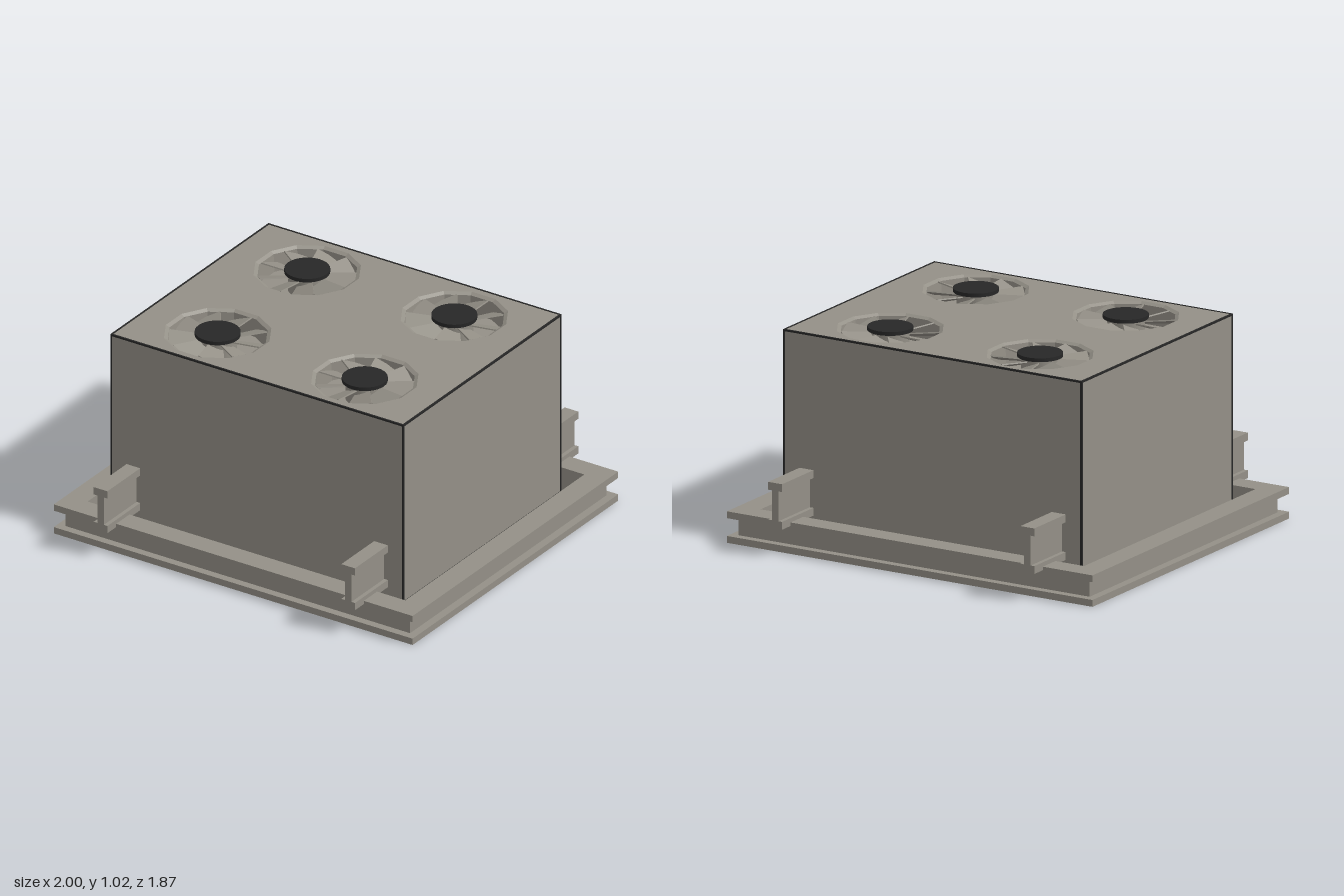
import * as THREE from 'three';

export function createModel() {
  const model = new THREE.Group();
  const steel = new THREE.MeshStandardMaterial({ color: 0x949087 });
  steel.name = 'warm grey steel';
  const dark = new THREE.MeshStandardMaterial({ color: 0x272727 });
  dark.name = 'dark rubber';

  const add = (parent, name, geometry, material, x = 0, y = 0, z = 0) => {
    const mesh = new THREE.Mesh(geometry, material);
    mesh.name = name;
    mesh.position.set(x, y, z);
    parent.add(mesh);
    return mesh;
  };
  const toPoints = list => list.map(p => new THREE.Vector2(...p));
  const rectPoints = (x, z) => toPoints([[-x, -z], [x, -z], [x, z], [-x, z]]);
  // Horizontal plate with holes, rising from y = 0
  const plate = (points, holes, height) => {
    const shape = new THREE.Shape(points);
    holes.forEach(h => shape.holes.push(new THREE.Path(h)));
    return new THREE.ExtrudeGeometry(shape, { depth: height, bevelEnabled: false }).rotateX(-Math.PI / 2);
  };

  // Base frame: two flanges and a set-back web, flat on the inside
  const frame = new THREE.Group();
  frame.name = 'baseFrame';
  model.add(frame);
  const opening = rectPoints(0.885, 0.75);
  add(frame, 'lowerFlange', plate(rectPoints(1, 0.861), [opening], 0.033), steel);
  add(frame, 'frameWeb', plate(rectPoints(0.96, 0.822), [opening], 0.086), steel, 0, 0.033);
  add(frame, 'upperFlange', plate(rectPoints(1, 0.861), [opening], 0.033), steel, 0, 0.119);

  // Carrying beams with an I section, running front to back
  const half = [[0.038, 0], [0.038, 0.038], [0.018, 0.038], [0.018, 0.182], [0.038, 0.182], [0.038, 0.22]];
  const section = toPoints([...half, ...half.map(([x, y]) => [-x, y]).reverse()]);
  const beam = new THREE.ExtrudeGeometry(new THREE.Shape(section), { depth: 1.87, bevelEnabled: false });
  beam.translate(0, 0, -0.935);
  for (const side of [-1, 1]) add(model, side > 0 ? 'leftBeam' : 'rightBeam', beam, steel, side * 0.69, 0.135);

  // Housing: solid lower body and a top plate with four fan openings
  const W = 0.815, D = 0.66, BOTTOM = 0.08, TOP = 1.01, WELL = 0.1, R = 0.254, SIDES = 12;
  const fans = [[-1, -1], [1, -1], [-1, 1], [1, 1]];
  const ring = (cx, cy) => Array.from({ length: SIDES }, (_, i) => {
    const a = -(i + 0.5) * 2 * Math.PI / SIDES;
    return new THREE.Vector2(cx + R * Math.cos(a), cy + R * Math.sin(a));
  });
  const bodyHeight = TOP - WELL - BOTTOM;
  add(model, 'housing', new THREE.BoxGeometry(2 * W, bodyHeight, 2 * D), steel, 0, BOTTOM + bodyHeight / 2);
  const holes = fans.map(([sx, sz]) => ring(sx * 0.41, -sz * 0.375));
  add(model, 'topPlate', plate(rectPoints(W, D), holes, WELL), steel, 0, TOP - WELL);

  // Thin dark trim along every edge of the housing
  const trim = new THREE.Group();
  trim.name = 'edgeTrim';
  model.add(trim);
  const T = 0.009, inset = T / 2 - 0.002;
  const x = W - inset, z = D - inset, low = BOTTOM + inset, high = TOP - inset;
  for (const [a, b] of fans) {
    const y = b > 0 ? high : low;
    add(trim, 'cornerTrim', new THREE.BoxGeometry(T, high - low + T, T), dark, a * x, (low + high) / 2, b * z);
    add(trim, 'sideTrim', new THREE.BoxGeometry(T, T, 2 * z), dark, a * x, y, 0);
    add(trim, 'endTrim', new THREE.BoxGeometry(2 * x, T, T), dark, 0, y, a * z);
  }

  // Fans: flared shroud, pitched blades and a dark hub cap
  const shroud = new THREE.LatheGeometry(
    toPoints([[R, 0], [0.236, -0.01], [0.23, -WELL]]), SIDES, Math.PI / SIDES).toNonIndexed();
  shroud.computeVertexNormals();
  const blade = plate(
    toPoints([[0.07, -0.036], [0.222, -0.068], [0.23, 0], [0.222, 0.068], [0.07, 0.036]]), [], 0.006);
  const BLADES = 9;
  for (const [sx, sz] of fans) {
    const fan = new THREE.Group();
    fan.name = 'fan';
    fan.position.set(sx * 0.41, 0, sz * 0.375);
    model.add(fan);
    add(fan, 'shroud', shroud, steel, 0, TOP);
    add(fan, 'hubCap', new THREE.CylinderGeometry(0.107, 0.107, 0.018, 32), dark, 0, 1.011);
    add(fan, 'hubCore', new THREE.CylinderGeometry(0.09, 0.09, 0.092, 24), steel, 0, 0.956);
    for (let i = 0; i < BLADES; i++) {
      const mesh = add(fan, 'blade', blade, steel, 0, 0.973);
      // Neighbouring fans turn in opposite directions
      mesh.rotation.set(sx * sz * 0.38, (i + 0.4) * 2 * Math.PI / BLADES, 0, 'YXZ');
    }
  }
  return model;
}
